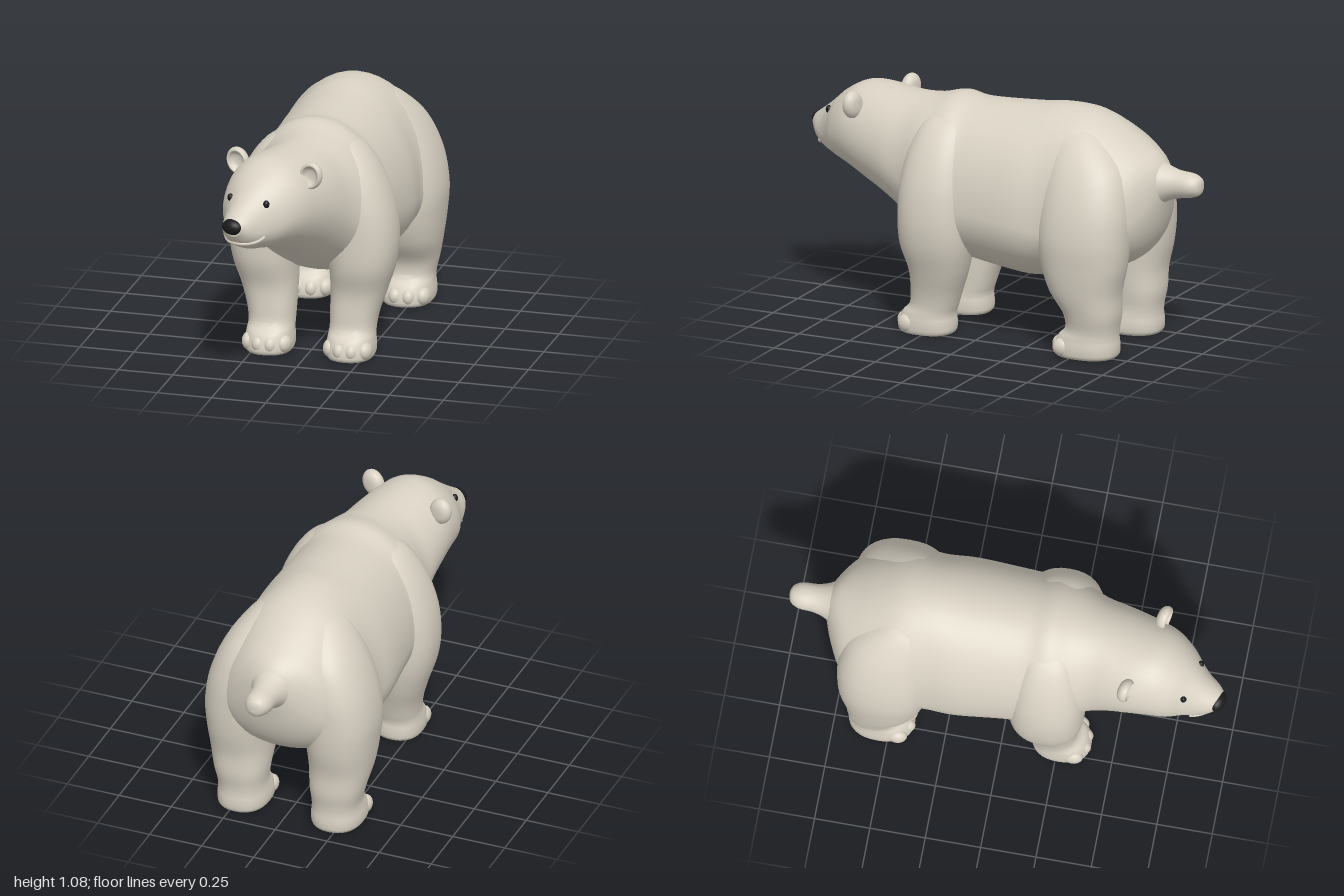
import * as THREE from 'three';
import { toCreasedNormals } from 'three/addons/utils/BufferGeometryUtils.js';

// Smooth interpolation through rows of section values, t in 0..1
function rowAt(rows, t) {
  const f = t * (rows.length - 1);
  const i = Math.min(Math.floor(f), rows.length - 2), u = f - i;
  const row = (k) => rows[Math.max(0, Math.min(rows.length - 1, k))];
  return rows[i].map((p1, c) => {
    const p0 = row(i - 1)[c], p2 = row(i + 1)[c], p3 = row(i + 2)[c];
    return p1 + 0.5 * u * (p2 - p0 + u * (2 * p0 - 5 * p1 + 4 * p2 - p3 + u * (3 * (p1 - p2) + p3 - p0)));
  });
}

// Skin of rings given by point(t, angle), closed with a fan at each end
function loft(point, steps, sides) {
  const pos = [], index = [];
  const ring = (t) => Array.from({ length: sides }, (_, j) => point(t, (j / sides) * Math.PI * 2));
  for (let i = 0; i <= steps; i++) ring(i / steps).forEach((p) => pos.push(...p));
  for (let i = 0; i < steps; i++) {
    for (let j = 0; j < sides; j++) {
      const k = (j + 1) % sides;
      const a = i * sides + j, b = i * sides + k, c = b + sides, d = a + sides;
      index.push(a, b, c, a, c, d);
    }
  }
  for (const end of [0, 1]) {
    const centre = [0, 0, 0];
    ring(end).forEach((p) => p.forEach((v, c) => { centre[c] += v / sides; }));
    const m = pos.length / 3, base = end * steps * sides;
    pos.push(...centre);
    for (let j = 0; j < sides; j++) {
      const a = base + j, b = base + ((j + 1) % sides);
      if (end) index.push(a, b, m); else index.push(b, a, m);
    }
  }
  const geo = new THREE.BufferGeometry();
  geo.setAttribute('position', new THREE.Float32BufferAttribute(pos, 3));
  geo.setIndex(index);
  geo.computeVertexNormals();
  return geo;
}

// Upright egg-shaped sections: [z, centre x, top, bottom, half width, widest y, yaw]
const alongZ = (rows) => (t, a) => {
  const [z, xc, top, bottom, w, mid, yaw] = rowAt(rows, t);
  const s = Math.sin(a), dx = w * Math.cos(a);
  return [xc + dx * Math.cos(yaw), mid + s * (s > 0 ? top - mid : mid - bottom), z + dx * Math.sin(yaw)];
};

// Level, slightly squared sections: [y, centre x, centre z, radius x, radius z]
const alongY = (rows, side) => (t, a) => {
  const [y, xc, zc, rx, rz] = rowAt(rows, t);
  const sq = (v) => Math.sign(v) * Math.abs(v) ** 0.85;
  return [side * xc + rx * sq(Math.cos(a)), y, zc - rz * sq(Math.sin(a))];
};

const BODY = [
  [-0.83, 0, 0.83, 0.70, 0.05, 0.77, 0],
  [-0.79, 0, 0.885, 0.54, 0.15, 0.68, 0],
  [-0.72, 0, 0.935, 0.43, 0.26, 0.61, 0],
  [-0.60, 0, 1.01, 0.36, 0.33, 0.56, 0],
  [-0.48, 0, 1.065, 0.33, 0.355, 0.55, 0],
  [-0.34, 0, 1.08, 0.30, 0.34, 0.56, 0],
  [-0.20, 0, 1.065, 0.285, 0.348, 0.58, 0],
  [0.00, 0, 1.053, 0.31, 0.335, 0.60, 0],
  [0.10, 0, 1.053, 0.33, 0.33, 0.60, 0],
  [0.19, 0, 1.068, 0.36, 0.335, 0.62, 0],
  [0.29, 0, 1.045, 0.41, 0.305, 0.65, 0],
  [0.39, -0.015, 1.035, 0.465, 0.255, 0.70, 0.03],
  [0.50, -0.04, 1.035, 0.53, 0.235, 0.77, 0.12],
  [0.62, -0.07, 1.04, 0.59, 0.218, 0.81, 0.25],
];
// Turned head, ending in the muzzle
const HEAD = [
  [0.70, -0.088, 1.03, 0.625, 0.20, 0.82, 0.26],
  [0.78, -0.11, 0.985, 0.65, 0.168, 0.80, 0.26],
  [0.84, -0.125, 0.935, 0.663, 0.125, 0.78, 0.26],
  [0.89, -0.139, 0.893, 0.68, 0.097, 0.765, 0.26],
  [0.94, -0.152, 0.855, 0.712, 0.072, 0.78, 0.26],
  [0.975, -0.161, 0.83, 0.76, 0.042, 0.795, 0.26],
];
const TAIL = [
  [-1.0, 0, 0.79, 0.755, 0.012, 0.772, 0],
  [-0.988, 0, 0.812, 0.732, 0.04, 0.772, 0],
  [-0.95, 0, 0.828, 0.718, 0.06, 0.772, 0],
  [-0.88, 0, 0.835, 0.705, 0.065, 0.77, 0],
  [-0.82, 0, 0.855, 0.68, 0.085, 0.765, 0],
  [-0.74, 0, 0.90, 0.62, 0.14, 0.75, 0],
];
const FRONT_LEG = [
  [0, 0.187, 0.265, 0.10, 0.122],
  [0.015, 0.187, 0.265, 0.107, 0.132],
  [0.05, 0.187, 0.262, 0.109, 0.13],
  [0.09, 0.187, 0.255, 0.105, 0.12],
  [0.13, 0.187, 0.232, 0.103, 0.108],
  [0.20, 0.192, 0.217, 0.11, 0.115],
  [0.30, 0.207, 0.20, 0.126, 0.133],
  [0.42, 0.223, 0.203, 0.147, 0.163],
  [0.55, 0.223, 0.203, 0.16, 0.172],
  [0.70, 0.198, 0.203, 0.166, 0.17],
  [0.85, 0.155, 0.20, 0.152, 0.15],
  [0.96, 0.115, 0.195, 0.112, 0.11],
  [1.02, 0.09, 0.19, 0.035, 0.04],
];
const HIND_LEG = [
  [0, 0.225, -0.54, 0.108, 0.138],
  [0.015, 0.225, -0.54, 0.117, 0.148],
  [0.05, 0.225, -0.543, 0.119, 0.147],
  [0.09, 0.225, -0.55, 0.114, 0.136],
  [0.13, 0.226, -0.568, 0.112, 0.12],
  [0.20, 0.23, -0.57, 0.124, 0.129],
  [0.30, 0.236, -0.54, 0.14, 0.163],
  [0.42, 0.238, -0.533, 0.154, 0.195],
  [0.55, 0.23, -0.53, 0.169, 0.21],
  [0.70, 0.20, -0.528, 0.172, 0.21],
  [0.85, 0.155, -0.51, 0.153, 0.185],
  [0.97, 0.11, -0.46, 0.105, 0.12],
  [1.03, 0.09, -0.43, 0.035, 0.05],
];

export function createModel() {
  const fur = new THREE.MeshStandardMaterial({ color: 0xd8d1c3 });
  fur.name = 'cream fur';
  const black = new THREE.MeshStandardMaterial({ color: 0x1b1b1b });
  black.name = 'black';

  const bear = new THREE.Group();
  bear.name = 'bear';
  const add = (name, geo, mat, parent = bear) => {
    const mesh = new THREE.Mesh(geo, mat);
    mesh.name = name;
    parent.add(mesh);
    return mesh;
  };
  const ball = (name, mat, [x, y, z], [rx, ry, rz], parent) => {
    const mesh = add(name, new THREE.SphereGeometry(1, 24, 16), mat, parent);
    mesh.position.set(x, y, z);
    mesh.scale.set(rx, ry, rz);
    return mesh;
  };

  // Torso, neck and head as one skin, with the tail
  const skin = alongZ([...BODY, ...HEAD]);
  add('bodyAndHead', loft(skin, 95, 48), fur);
  add('tail', loft(alongZ(TAIL), 24, 28), fur);

  // Legs with rounded toes
  const addLeg = (name, rows, side, toeZ) => {
    const leg = new THREE.Group();
    leg.name = name;
    bear.add(leg);
    add('limb', toCreasedNormals(loft(alongY(rows, side), 60, 36), 0.9), fur, leg);
    const cx = side * rows[0][1], half = rows[2][3];
    for (const k of [-0.72, -0.25, 0.25, 0.72]) {
      ball('toe', fur, [cx + k * half, 0.044, toeZ - 0.06 * k * k], [0.034, 0.042, 0.046], leg);
    }
  };
  for (const [label, side] of [['left', 1], ['right', -1]]) {
    addLeg(label + 'FrontLeg', FRONT_LEG, side, 0.358);
    addLeg(label + 'HindLeg', HIND_LEG, side, -0.428);
  }

  // Cupped ears
  const rim = [[0, -0.03], [0.03, -0.027], [0.05, -0.014], [0.057, 0.004], [0.052, 0.02],
    [0.043, 0.022], [0.035, 0.01], [0.022, 0], [0, -0.003]].map(([r, y]) => new THREE.Vector2(r, y));
  const earShape = new THREE.LatheGeometry(new THREE.SplineCurve(rim).getPoints(32), 32).rotateX(Math.PI / 2);
  for (const [name, x, z, tilt] of [['leftEar', 0.118, 0.668, -0.3], ['rightEar', -0.25, 0.56, 0.3]]) {
    const ear = add(name, earShape, fur);
    ear.position.set(x, 0.97, z);
    ear.rotation.set(0, -0.26, tilt);
    ear.scale.set(0.95, 1.12, 1);
  }

  // Eyes set on the face
  const last = BODY.length + HEAD.length - 1;
  const eyeT = (BODY.length + 2) / last;
  for (const [name, a] of [['leftEye', 0.74], ['rightEye', Math.PI - 0.74]]) {
    ball(name, black, skin(eyeT, a), [0.014, 0.018, 0.014]);
  }

  // Nose
  ball('nose', black, [-0.163, 0.8, 0.963], [0.05, 0.036, 0.036]).rotation.y = -0.26;

  // Lip line following the muzzle from cheek to cheek
  const lip = [];
  for (let i = 0; i <= 12; i++) {
    const k = i / 6 - 1;
    const t = (last - 0.85 - 1.55 * k * k) / last;
    lip.push(new THREE.Vector3(...skin(t, -Math.PI / 2 + k * 1.3)));
  }
  add('lip', new THREE.TubeGeometry(new THREE.CatmullRomCurve3(lip), 48, 0.008, 10), fur);

  return bear;
}
